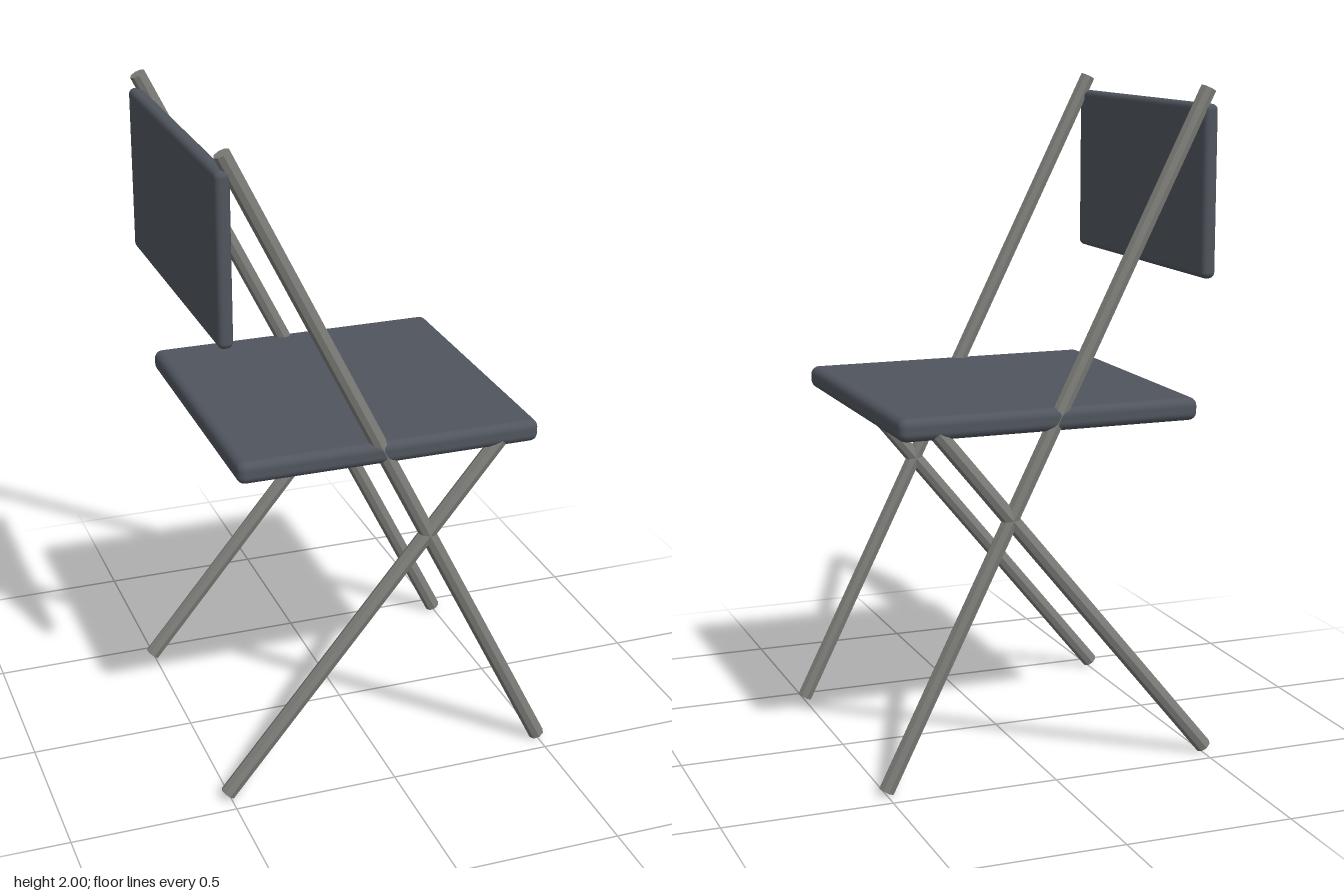
import * as THREE from 'three';
import { RoundedBoxGeometry } from 'three/addons/geometries/RoundedBoxGeometry.js';

export function createModel() {
  const chair = new THREE.Group();
  chair.name = 'foldingChair';

  const panel = new THREE.MeshStandardMaterial({ color: 0x50555e });
  panel.name = 'slate panel';
  const metal = new THREE.MeshStandardMaterial({ color: 0x7d7d79, flatShading: true });
  metal.name = 'grey metal';

  // Rounded slab given by its size and centre
  function slab(name, size, radius, x, y) {
    const mesh = new THREE.Mesh(new RoundedBoxGeometry(...size, 3, radius), panel);
    mesh.name = name;
    mesh.position.set(x, y, 0);
    chair.add(mesh);
  }

  // Straight rod between two points in the side plane
  function rod(name, x1, y1, x2, y2, z) {
    const a = new THREE.Vector3(x1, y1, z);
    const b = new THREE.Vector3(x2, y2, z);
    const dir = b.clone().sub(a);
    const mesh = new THREE.Mesh(new THREE.CylinderGeometry(0.024, 0.024, dir.length(), 8), metal);
    mesh.name = name;
    mesh.position.copy(a).add(b).multiplyScalar(0.5);
    mesh.quaternion.setFromUnitVectors(new THREE.Vector3(0, 1, 0), dir.normalize());
    chair.add(mesh);
  }

  // Seat and backrest
  slab('seat', [0.917, 0.068, 0.917], 0.025, -0.002, 1.064);
  slab('backrest', [0.044, 0.5, 0.917], 0.018, -0.485, 1.695);

  // Crossed rods on both sides: long rods carry the backrest, short ones the seat
  for (const [side, z] of [['near', 0.435], ['far', -0.435]]) {
    rod(side + 'LongLeg', 0.499, 0.012, -0.482, 1.989, z);
    rod(side + 'ShortLeg', -0.508, 0.016, 0.34, 1.049, z);
  }
  return chair;
}
